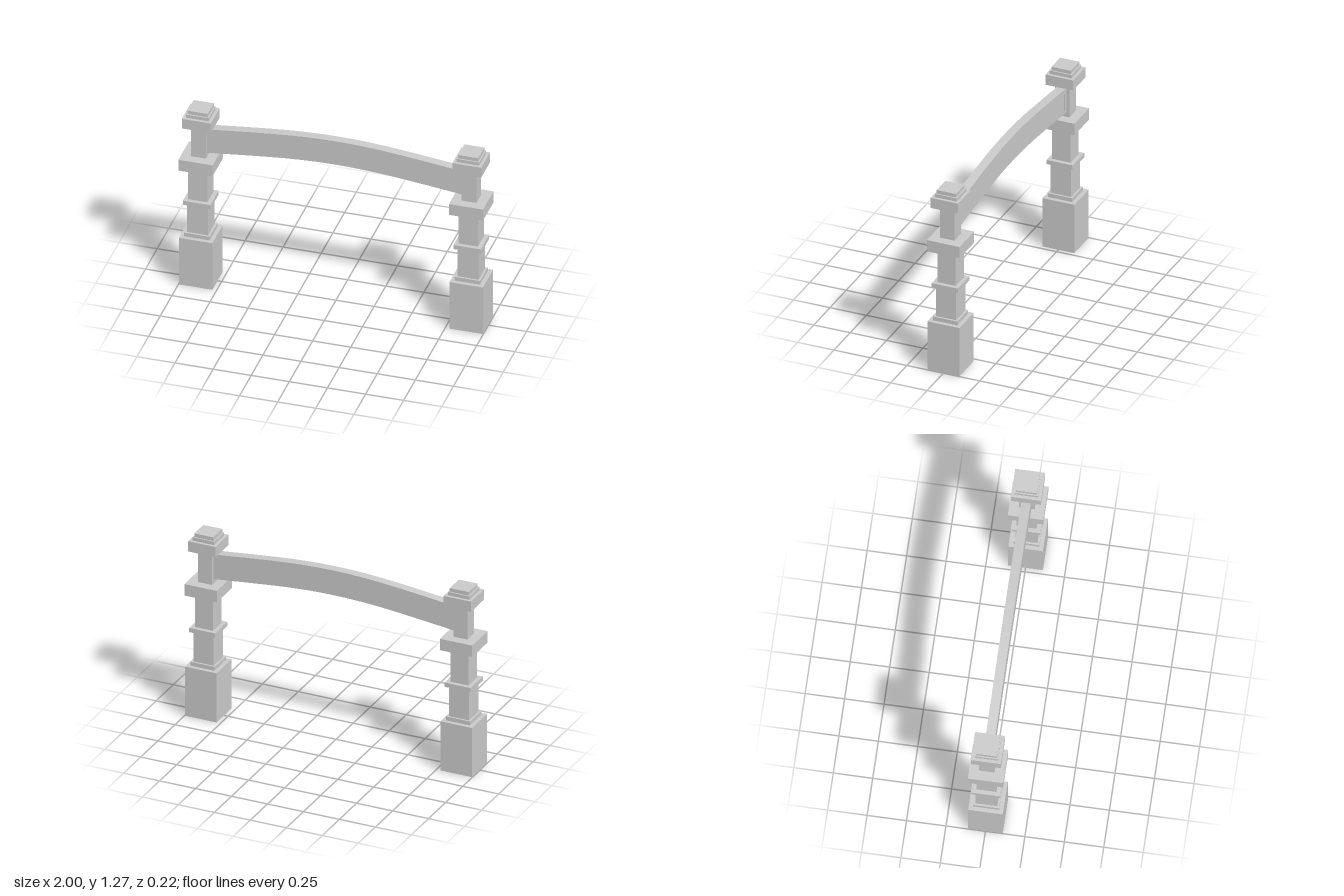
import * as THREE from 'three';

const material = new THREE.MeshStandardMaterial({ color: 0xcccccc, flatShading: true });

// Stacked square blocks of a pillar: name, bottom, top, half width
const BLOCKS = [
  ['base', 0, 0.345, 0.11],
  ['baseTrim', 0.345, 0.372, 0.083],
  ['lowerShaft', 0.372, 0.582, 0.07],
  ['middleBand', 0.582, 0.612, 0.09],
  ['upperShaft', 0.612, 0.845, 0.063],
  ['collar', 0.845, 0.925, 0.1125],
  ['neck', 0.925, 1.15, 0.049],
  ['capital', 1.15, 1.222, 0.095],
  ['capStep', 1.222, 1.245, 0.075],
  ['capTop', 1.245, 1.27, 0.066],
];

function createPillar(name, x) {
  const pillar = new THREE.Group();
  pillar.name = name;
  for (const [part, y0, y1, half] of BLOCKS) {
    const mesh = new THREE.Mesh(new THREE.BoxGeometry(half * 2, y1 - y0, half * 2), material);
    mesh.name = part;
    mesh.position.y = (y0 + y1) / 2;
    pillar.add(mesh);
  }
  pillar.position.x = x;
  return pillar;
}

// Half of the beam's upper edge, from the middle outwards
const ARCH = [[0, 1.198], [0.1, 1.197], [0.2, 1.193], [0.32, 1.185], [0.45, 1.173], [0.62, 1.155], [0.842, 1.13]];
const BEAM_HEIGHT = 0.173;

// Arched outline, shrunk on all sides by the inset
function archOutline(inset) {
  const scale = (0.842 - inset) / 0.842;
  const right = ARCH.map(([x, y]) => new THREE.Vector2(x * scale, y - inset));
  const left = right.slice(1).reverse().map((p) => new THREE.Vector2(-p.x, p.y));
  const top = [...left, ...right];
  const drop = BEAM_HEIGHT - inset * 2;
  const bottom = top.map((p) => new THREE.Vector2(p.x, p.y - drop)).reverse();
  return [...top, ...bottom];
}

function createBeamLayer(name, z0, z1, holeInset) {
  const shape = new THREE.Shape(archOutline(0));
  if (holeInset) shape.holes.push(new THREE.Path(archOutline(holeInset)));
  const geometry = new THREE.ExtrudeGeometry(shape, { depth: z1 - z0, bevelEnabled: false });
  geometry.translate(0, 0, z0);
  const mesh = new THREE.Mesh(geometry, material);
  mesh.name = name;
  return mesh;
}

export function createModel() {
  const model = new THREE.Group();
  model.name = 'archway';
  model.add(createPillar('leftPillar', 0.8875), createPillar('rightPillar', -0.8875));

  // Arched beam: plain front, raised frame around a sunken panel at the back
  const beam = new THREE.Group();
  beam.name = 'archedBeam';
  beam.add(createBeamLayer('beamPanel', -0.013, 0.03, 0));
  beam.add(createBeamLayer('beamBackFrame', -0.03, -0.013, 0.028));
  model.add(beam);
  return model;
}
